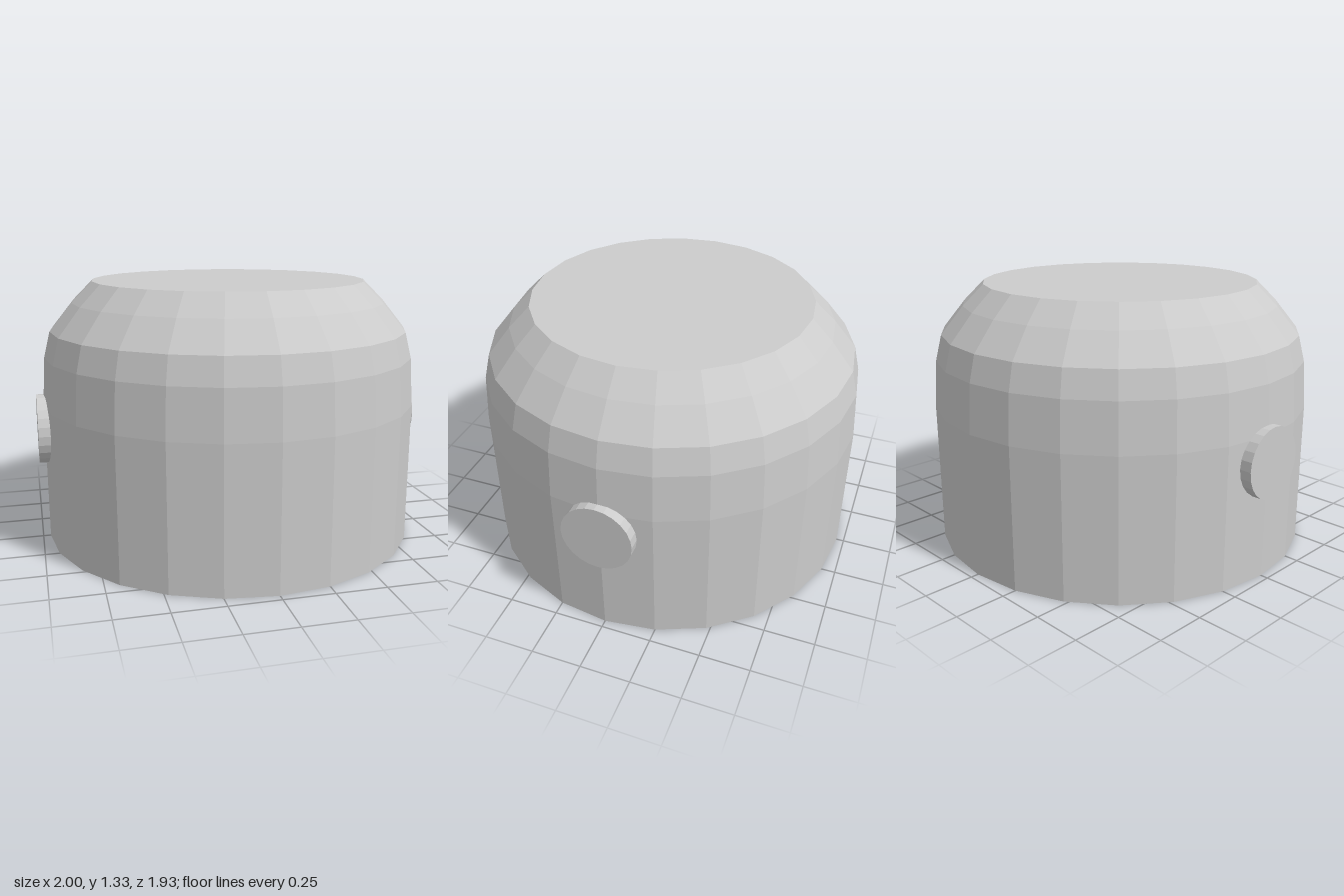
import * as THREE from 'three';

const SIDES = 24;

export function createModel() {
  const model = new THREE.Group();
  const material = new THREE.MeshStandardMaterial({ color: 0xcccccc, flatShading: true });

  // Domed cap with a flat top and a shallow recess underneath (radius, height)
  const profile = [
    [0, 0.08], [0.785, 0.08], [0.785, 0], [0.962, 0], [0.965, 0.71],
    [0.95, 0.95], [0.918, 1.08], [0.805, 1.22], [0.7, 1.325], [0, 1.325],
  ].map(([r, y]) => new THREE.Vector2(r, y));
  const body = new THREE.Mesh(new THREE.LatheGeometry(profile, SIDES), material);
  body.name = 'domedBody';
  model.add(body);

  // Round pivot studs, one on each side
  for (const side of [1, -1]) {
    const stud = new THREE.Mesh(new THREE.CylinderGeometry(0.175, 0.175, 0.12, SIDES), material);
    stud.rotation.z = -side * Math.PI / 2;
    stud.position.set(side * 0.94, 0.585, 0);
    stud.name = side > 0 ? 'leftStud' : 'rightStud';
    model.add(stud);
  }
  return model;
}
